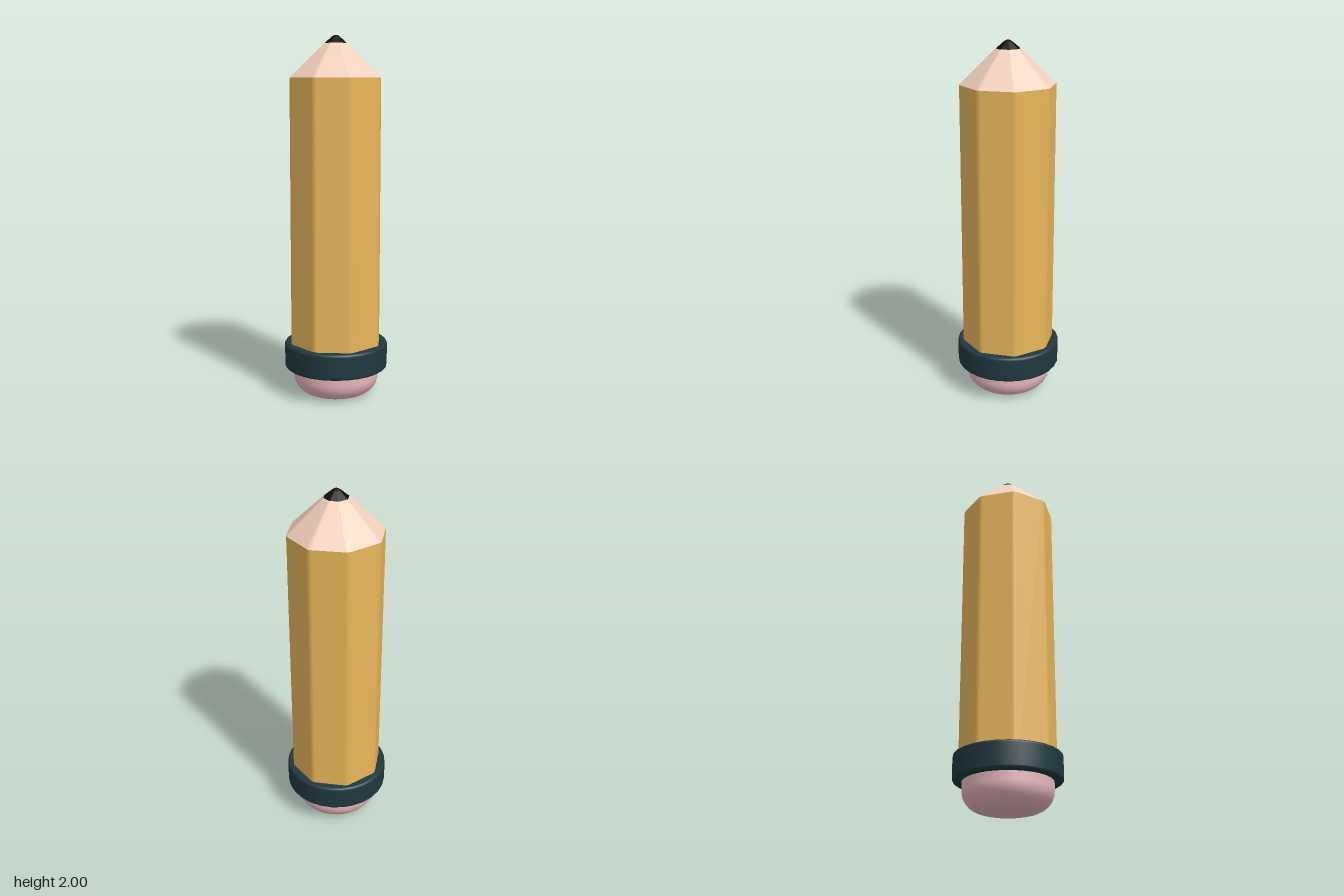
import * as THREE from 'three';

const SIDES = 8;

// Lofts an octagon with softened corners through [radius, y] pairs (bottom to top).
// Each band keeps flat faces; normals blend only across the narrow corners.
function octagonLoft(profile) {
  const apothem = Math.cos(Math.PI / SIDES);
  const soft = 0.06; // share of the radius eased off each corner
  const outline = [];
  for (let i = 0; i < SIDES; i++) {
    const a = (i * 2 * Math.PI) / SIDES;
    const half = Math.PI / SIDES;
    for (const s of [-1, 0, 1]) {
      const n = a + s * half; // normal direction of the neighbouring face
      const along = s * soft;
      const x = s === 0 ? Math.cos(a) : Math.cos(a) * 1.015 - Math.sin(n) * along;
      const z = s === 0 ? Math.sin(a) : Math.sin(a) * 1.015 + Math.cos(n) * along;
      outline.push({ x, z, n, k: s === 0 ? 1 : apothem });
    }
  }
  const pos = [], nor = [], idx = [];
  const count = outline.length;
  for (let b = 0; b < profile.length - 1; b++) {
    const [r0, y0] = profile[b];
    const [r1, y1] = profile[b + 1];
    const base = pos.length / 3;
    for (const [r, y] of [[r0, y0], [r1, y1]]) {
      for (const p of outline) {
        pos.push(p.x * r, y, p.z * r);
        const v = new THREE.Vector3(Math.cos(p.n) * (y1 - y0), (r0 - r1) * p.k, Math.sin(p.n) * (y1 - y0)).normalize();
        nor.push(v.x, v.y, v.z);
      }
    }
    for (let i = 0; i < count; i++) {
      const j = (i + 1) % count;
      const a = base + i, c = base + j;
      idx.push(a, a + count, c, c, a + count, c + count);
    }
  }
  const g = new THREE.BufferGeometry();
  g.setAttribute('position', new THREE.Float32BufferAttribute(pos, 3));
  g.setAttribute('normal', new THREE.Float32BufferAttribute(nor, 3));
  g.setIndex(idx);
  return g;
}

// Revolves a list of [radius, y] points.
function revolve(points, segments) {
  return new THREE.LatheGeometry(points.map(([r, y]) => new THREE.Vector2(r, y)), segments);
}

// Quarter-round corner points, swept from angle a0 to a1.
function arc(cx, cy, rx, ry, a0, a1, steps) {
  return Array.from({ length: steps + 1 }, (_, i) => {
    const a = a0 + ((a1 - a0) * i) / steps;
    return [cx + rx * Math.cos(a), cy + ry * Math.sin(a)];
  });
}

export function createModel() {
  const group = new THREE.Group();
  const add = (name, geometry, color) => {
    const mesh = new THREE.Mesh(geometry, new THREE.MeshStandardMaterial({ color }));
    mesh.name = name;
    group.add(mesh);
  };

  // Painted shaft, sharpened wood and dark point
  add('shaft', octagonLoft([[0.26, 0.2], [0.26, 1.77]]), 0xe8b65b);
  add('sharpenedWood', octagonLoft([[0.26, 1.77], [0.066, 1.955]]), 0xf2d0bd);
  add('leadTip', octagonLoft([[0.067, 1.953], [0.022, 1.991], [0.01, 1.998], [0, 2]]), 0x0d0d0d);

  // Collar with softly rounded rims
  const b = 0.015, H = Math.PI / 2;
  add('collar', revolve([
    [0.15, 0.152],
    [0.22, 0.152],
    ...arc(0.29 - b, 0.152 + b, b, b, -H, 0, 4),
    ...arc(0.29 - b, 0.297 - b, b, b, 0, H, 4),
    [0.22, 0.297],
    [0.15, 0.297],
  ], 28), 0x1f383f);

  // Rounded eraser
  add('eraser', revolve([
    [0, 0],
    [0.07, 0],
    ...arc(0.13, 0.105, 0.11, 0.105, -H, 0, 8),
    [0.24, 0.2],
  ], 32), 0xe6b5bd);

  return group;
}
